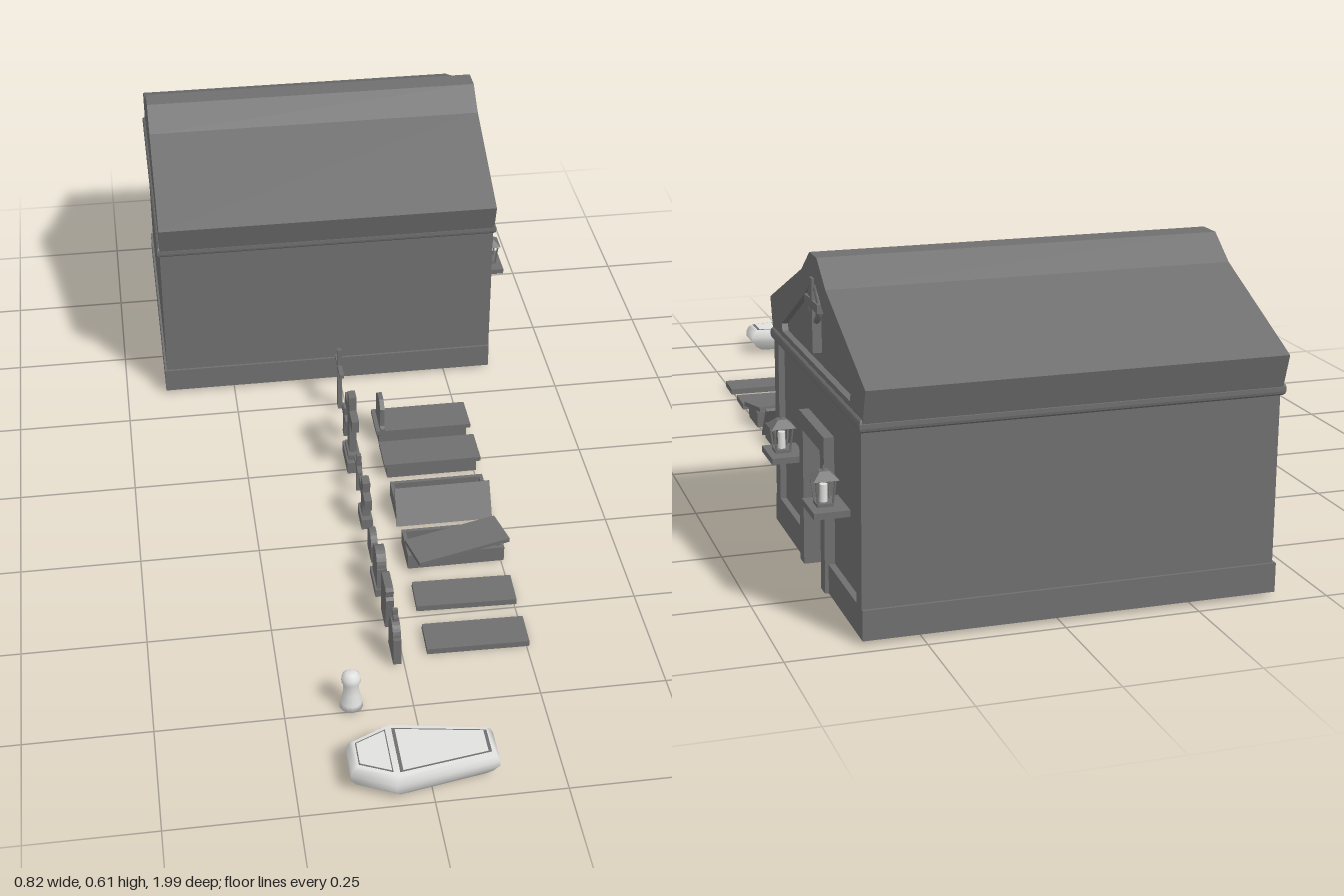
import * as THREE from 'three';

const stone = new THREE.MeshStandardMaterial({ color: 0x6f6f70 });
stone.name = 'grey stone';
const ivory = new THREE.MeshStandardMaterial({ color: 0xe0e0de });
ivory.name = 'ivory';

function add(parent, name, geo, mat = stone, x = 0, y = 0, z = 0) {
  const m = new THREE.Mesh(geo, mat);
  m.name = name;
  m.position.set(x, y, z);
  parent.add(m);
  return m;
}
// Box given by its limits on each axis
function block(parent, name, x0, x1, y0, y1, z0, z1, mat) {
  return add(parent, name, new THREE.BoxGeometry(x1 - x0, y1 - y0, z1 - z0), mat, (x0 + x1) / 2, (y0 + y1) / 2, (z0 + z1) / 2);
}
const toShape = pts => new THREE.Shape(pts.map(p => new THREE.Vector2(p[0], p[1])));
// Outline in the side plane (first coordinate is -z), extruded along x
function sideways(parent, name, shape, x0, x1, y = 0, z = 0) {
  const geo = new THREE.ExtrudeGeometry(shape, { depth: x1 - x0, bevelEnabled: false, curveSegments: 8 });
  geo.rotateY(Math.PI / 2);
  return add(parent, name, geo, stone, x0, y, z);
}
// Full outline from its right half, listed bottom to top
const mirrored = half => toShape([...half, ...half.slice().reverse().filter(p => p[0] > 0).map(p => [-p[0], p[1]])]);
function crossShape(h, arm, armY, t, foot = t) {
  return mirrored([[foot, 0], [t, armY - t], [arm, armY - t], [arm, armY + t], [t, armY + t], [t, h]]);
}
// Stone with straight sides, small shoulders and an arched top
function archShape(w, side, r) {
  const half = [[w, 0], [w, side]];
  for (let i = 0; i <= 6; i++) half.push([r * Math.cos(i * Math.PI / 12), side + r * Math.sin(i * Math.PI / 12)]);
  half[half.length - 1][0] = 0;
  return mirrored(half);
}

function mausoleum() {
  const g = new THREE.Group();
  g.name = 'mausoleum';
  g.position.z = -0.66;

  // Walls, plinth and the porch of the doorway
  block(g, 'walls', -0.405, 0.29, 0.012, 0.4, -0.308, 0.308);
  const front = toShape([[-0.308, 0.012], [-0.062, 0.012], [-0.062, 0.27], [0.062, 0.27], [0.062, 0.012], [0.308, 0.012], [0.308, 0.4], [-0.308, 0.4]]);
  sideways(g, 'frontWall', front, 0.29, 0.345);
  block(g, 'plinth', -0.41, 0.29, 0.01, 0.065, -0.313, 0.313);
  for (const s of [-1, 1]) {
    const span = (a, b) => [Math.min(s * a, s * b), Math.max(s * a, s * b)];
    block(g, 'frontPlinth', 0.29, 0.357, 0.01, 0.065, ...span(0.062, 0.313));
    block(g, 'pilaster', 0.34, 0.357, 0.06, 0.385, ...span(0.276, 0.308));
  }
  const frame = toShape([[-0.09, 0.01], [-0.062, 0.01], [-0.062, 0.27], [0.062, 0.27], [0.062, 0.01], [0.09, 0.01], [0.09, 0.302], [-0.09, 0.302]]);
  sideways(g, 'doorFrame', frame, 0.34, 0.364);

  // Roof with a raised ridge, and a pediment frame at the front
  const roof = () => mirrored([[0.318, 0.395], [0.337, 0.457], [0.085, 0.567], [0.025, 0.611]]);
  sideways(g, 'roof', roof(), -0.405, 0.345);
  const gable = roof();
  gable.holes.push(new THREE.Path([[-0.24, 0.412], [0.24, 0.412], [0.245, 0.425], [0.06, 0.528], [0.015, 0.56], [-0.015, 0.56], [-0.06, 0.528], [-0.245, 0.425]].map(p => new THREE.Vector2(...p))));
  sideways(g, 'pedimentFrame', gable, 0.345, 0.357);
  const rect = toShape([[-0.402, -0.309], [0.353, -0.309], [0.353, 0.309], [-0.402, 0.309]]);
  const cornice = new THREE.ExtrudeGeometry(rect, { depth: 0.008, bevelSize: 0.009, bevelThickness: 0.009, bevelSegments: 3 });
  cornice.rotateX(-Math.PI / 2);
  add(g, 'cornice', cornice, stone, 0, 0.386, 0);

  // Ringed cross in the pediment
  sideways(g, 'pedimentCross', crossShape(0.135, 0.046, 0.088, 0.008, 0.012), 0.345, 0.362, 0.435);
  const ring = add(g, 'pedimentRing', new THREE.TorusGeometry(0.031, 0.006, 6, 20), stone, 0.354, 0.523, 0);
  ring.rotation.y = Math.PI / 2;

  // Lanterns on wall shelves
  for (const z of [-0.155, 0.155]) {
    const l = new THREE.Group();
    l.name = 'lantern';
    l.position.set(0.382, 0.203, z);
    g.add(l);
    block(l, 'shelf', -0.04, 0.028, -0.012, 0, -0.042, 0.042);
    block(l, 'lanternBase', -0.015, 0.015, 0, 0.006, -0.015, 0.015);
    add(l, 'candle', new THREE.CylinderGeometry(0.007, 0.007, 0.032, 10), ivory, 0, 0.022, 0);
    for (const sx of [-1, 1]) for (const sz of [-1, 1]) {
      const bar = add(l, 'lanternBar', new THREE.BoxGeometry(0.003, 0.048, 0.003), stone, sx * 0.0155, 0.027, sz * 0.0155);
      bar.rotation.set(sz * 0.1, 0, -sx * 0.1);
    }
    const cap = new THREE.CylinderGeometry(0.012, 0.033, 0.014, 4).toNonIndexed();
    cap.computeVertexNormals();
    add(l, 'lanternCap', cap, stone, 0, 0.056, 0).rotation.y = Math.PI / 4;
    add(l, 'lanternSpike', new THREE.CylinderGeometry(0.001, 0.003, 0.012, 6), stone, 0, 0.067, 0);
  }
  return g;
}

function gravestones() {
  const g = new THREE.Group();
  g.name = 'gravestones';
  const marker = (name, shape, z, t = 0.008, y = 0.01) => sideways(g, name, shape, -0.015 - t, -0.015 + t, y, z);
  const base = (z, w, h, t = 0.012) => block(g, 'stoneBase', -0.015 - t, -0.015 + t, 0.01, 0.01 + h, z - w, z + w);

  marker('shoulderedStone', archShape(0.033, 0.062, 0.026), 0.607);
  marker('stoneTopCross', crossShape(0.04, 0.014, 0.024, 0.004), 0.607, 0.005, 0.086);
  marker('notchedStone', mirrored([[0.026, 0], [0.036, 0.078], [0.03, 0.083], [0.032, 0.098], [0.024, 0.102]]), 0.505);
  marker('archedStone', archShape(0.034, 0.068, 0.031), 0.4, 0.01);
  base(0.4, 0.038, 0.018, 0.014);
  marker('smallStone', archShape(0.03, 0.035, 0.029), 0.3, 0.007);
  marker('stoneCross', crossShape(0.115, 0.042, 0.078, 0.013, 0.017), 0.19).rotation.x = 0.05;
  base(0.19, 0.03, 0.025);
  marker('slimCross', crossShape(0.1, 0.028, 0.066, 0.005), 0.082, 0.005).rotation.x = 0.06;
  marker('tallCross', crossShape(0.185, 0.057, 0.137, 0.014, 0.018), -0.018);
  base(-0.018, 0.042, 0.028, 0.016);
  base(-0.018, 0.03, 0.04, 0.012);
  marker('tiltedCross', crossShape(0.09, 0.03, 0.06, 0.009), -0.125, 0.006).rotation.x = 0.18;
  marker('thinCross', crossShape(0.158, 0.044, 0.112, 0.004, 0.012), -0.232, 0.005);
  return g;
}

function tombs() {
  const g = new THREE.Group();
  g.name = 'tombs';
  // Flat slabs
  block(g, 'flatSlab', 0.05, 0.256, 0.003, 0.016, 0.54, 0.615).rotation.y = -0.02;
  block(g, 'flatSlab', 0.05, 0.256, 0.003, 0.016, 0.412, 0.488).rotation.y = -0.03;

  // Chest tombs with lids
  for (const z of [-0.118, 0.006]) {
    block(g, 'chest', 0.055, 0.255, 0.003, 0.034, z - 0.036, z + 0.036);
    block(g, 'chestLid', 0.048, 0.263, 0.034, 0.044, z - 0.043, z + 0.043);
  }
  sideways(g, 'headstone', mirrored([[0.038, 0], [0.038, 0.02], [0.03, 0.024], [0.03, 0.065], [0.034, 0.07], [0.014, 0.086]]), 0.057, 0.067, 0.03, -0.112);

  // Open chests: one lid leans on the side, one lies askew
  for (const z of [0.145, 0.31]) {
    const outer = toShape([[0.052, -0.043], [0.256, -0.043], [0.256, 0.043], [0.052, 0.043]]);
    outer.holes.push(new THREE.Path([[0.06, -0.035], [0.06, 0.035], [0.248, 0.035], [0.248, -0.035]].map(p => new THREE.Vector2(...p))));
    const wall = new THREE.ExtrudeGeometry(outer, { depth: 0.035, bevelEnabled: false });
    wall.rotateX(-Math.PI / 2);
    add(g, 'openChest', wall, stone, 0, 0.004, z);
    block(g, 'chestFloor', 0.054, 0.254, 0.003, 0.01, z - 0.041, z + 0.041);
  }
  add(g, 'leaningLid', new THREE.BoxGeometry(0.207, 0.008, 0.082), stone, 0.154, 0.039, 0.192).rotation.x = 1.0;
  const askew = add(g, 'askewLid', new THREE.BoxGeometry(0.207, 0.01, 0.076), stone, 0.161, 0.044, 0.325);
  askew.rotation.set(0.06, 0.26, 0, 'YXZ');
  return g;
}

function coffin() {
  const g = new THREE.Group();
  g.name = 'coffin';
  g.position.set(0, 0, 0.92);
  const plan = [[-0.15, 0.036], [-0.07, 0.073], [0.128, 0.037], [0.128, -0.037], [-0.07, -0.073], [-0.15, -0.036]];
  const cx = -0.02;
  // Rounded body lofted from six-sided rings: height, scale
  const rings = [[0.012, 0.84], [0.02, 0.92], [0.034, 1], [0.046, 1], [0.058, 0.96], [0.064, 0.9]];
  const pos = [], idx = [];
  for (const [y, s] of rings) for (const [x, z] of plan) pos.push(cx + (x - cx) * s, y, z * s);
  for (let r = 0; r < rings.length - 1; r++) for (let i = 0; i < 6; i++) {
    const a = r * 6 + i, b = r * 6 + (i + 1) % 6;
    idx.push(a, b, b + 6, a, b + 6, a + 6);
  }
  const top = (rings.length - 1) * 6;
  for (let i = 1; i < 5; i++) idx.push(0, i + 1, i, top, top + i, top + i + 1);
  const body = new THREE.BufferGeometry();
  body.setAttribute('position', new THREE.Float32BufferAttribute(pos, 3));
  body.setIndex(idx);
  body.computeVertexNormals();
  add(g, 'coffinBody', body, ivory);

  // Two lid panels with thin grey trim beneath
  const panels = [
    [[-0.062, 0.056], [0.113, 0.028], [0.113, -0.028], [-0.062, -0.056]],
    [[-0.134, 0.027], [-0.074, 0.054], [-0.074, -0.054], [-0.134, -0.027]],
  ];
  for (const p of panels) {
    const mx = (p[0][0] + p[1][0]) / 2;
    for (const [name, s, y, mat] of [['lidTrim', 1, 0.0632, stone], ['lidPanel', 0.93, 0.0638, ivory]]) {
      const shape = toShape(p.map(([x, z]) => [mx + (x - mx) * s, z * s]));
      const geo = new THREE.ExtrudeGeometry(shape, { depth: 0.0015, bevelEnabled: false });
      geo.rotateX(-Math.PI / 2);
      add(g, name, geo, mat, 0, y, 0);
    }
  }
  return g;
}

export function createModel() {
  const model = new THREE.Group();
  model.name = 'graveyard';
  model.add(mausoleum(), gravestones(), tombs(), coffin());
  // Small waisted urn
  const profile = [[0, 0.01], [0.023, 0.01], [0.021, 0.022], [0.016, 0.045], [0.015, 0.066], [0.019, 0.074], [0.018, 0.086], [0.01, 0.094], [0, 0.094]];
  add(model, 'urn', new THREE.LatheGeometry(profile.map(p => new THREE.Vector2(...p)), 14), ivory, -0.12, 0, 0.738);
  return model;
}
